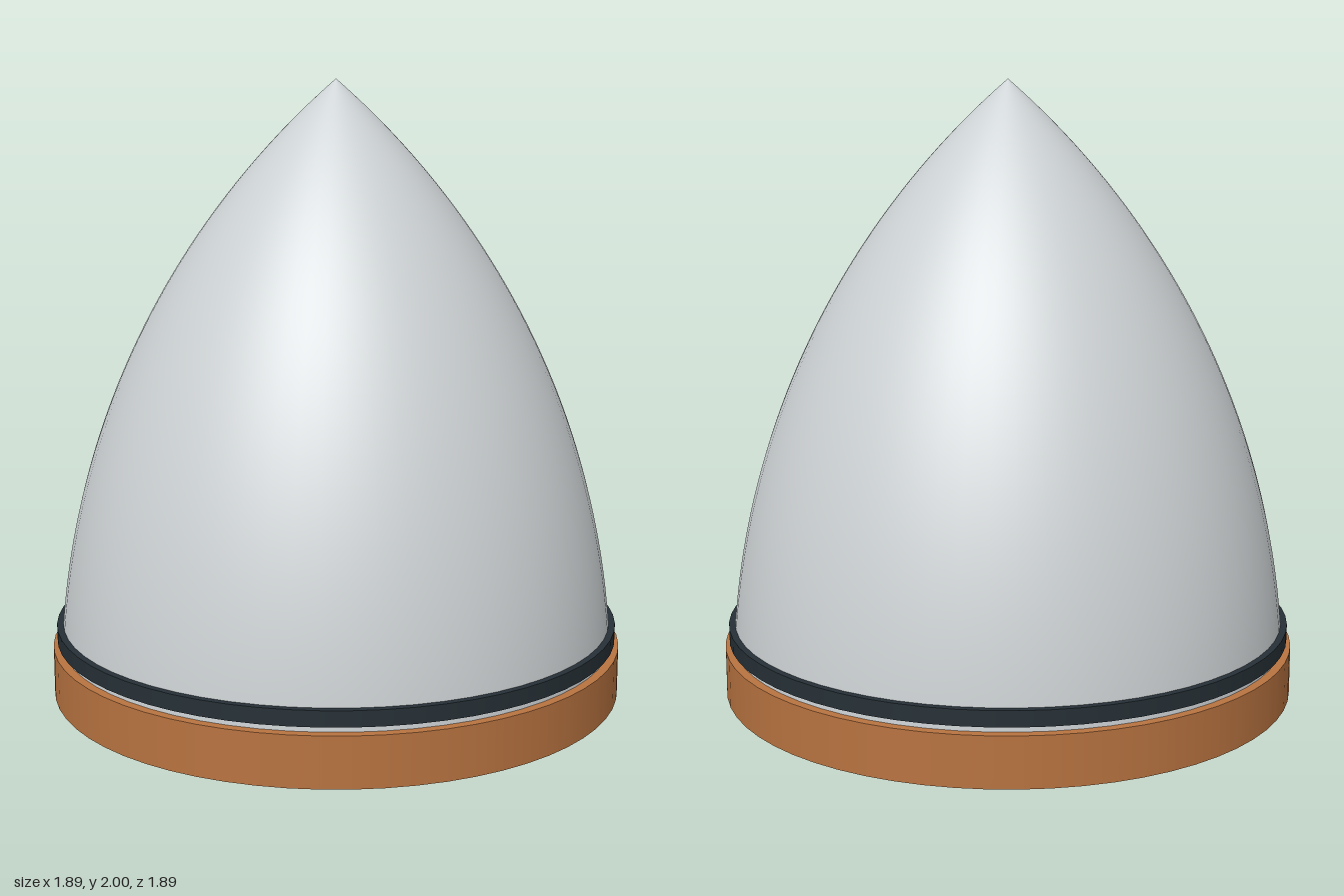
import * as THREE from 'three';

const SEGMENTS = 64;

function addPart(group, name, geometry, color) {
  const mesh = new THREE.Mesh(geometry, new THREE.MeshStandardMaterial({ color }));
  mesh.name = name;
  group.add(mesh);
  return mesh;
}

// Tangent ogive: circular arc that is vertical at the base and pointed at the tip
function ogiveProfile(radius, height, bottom, steps) {
  const rho = (radius * radius + height * height) / (2 * radius);
  const points = [];
  for (let i = 0; i <= steps; i++) {
    const y = bottom + ((height - bottom) * i) / steps;
    const r = Math.sqrt(rho * rho - y * y) + radius - rho;
    points.push(new THREE.Vector2(Math.max(r, 0), y));
  }
  return points;
}

export function createModel() {
  const group = new THREE.Group();
  group.name = 'ogiveNose';

  // Pointed shell, starting just inside the base ring
  const shell = new THREE.LatheGeometry(ogiveProfile(0.92, 2, 0.02, 48), SEGMENTS);
  addPart(group, 'noseShell', shell, 0xcdd2d4);

  // Copper base disc
  const base = new THREE.CylinderGeometry(0.944, 0.944, 0.16, SEGMENTS);
  addPart(group, 'baseRing', base, 0xb87340).position.y = 0.08;

  // Dark seal band just above the base
  const band = new THREE.CylinderGeometry(0.931, 0.931, 0.05, SEGMENTS);
  addPart(group, 'sealBand', band, 0x263036).position.y = 0.205;

  return group;
}
